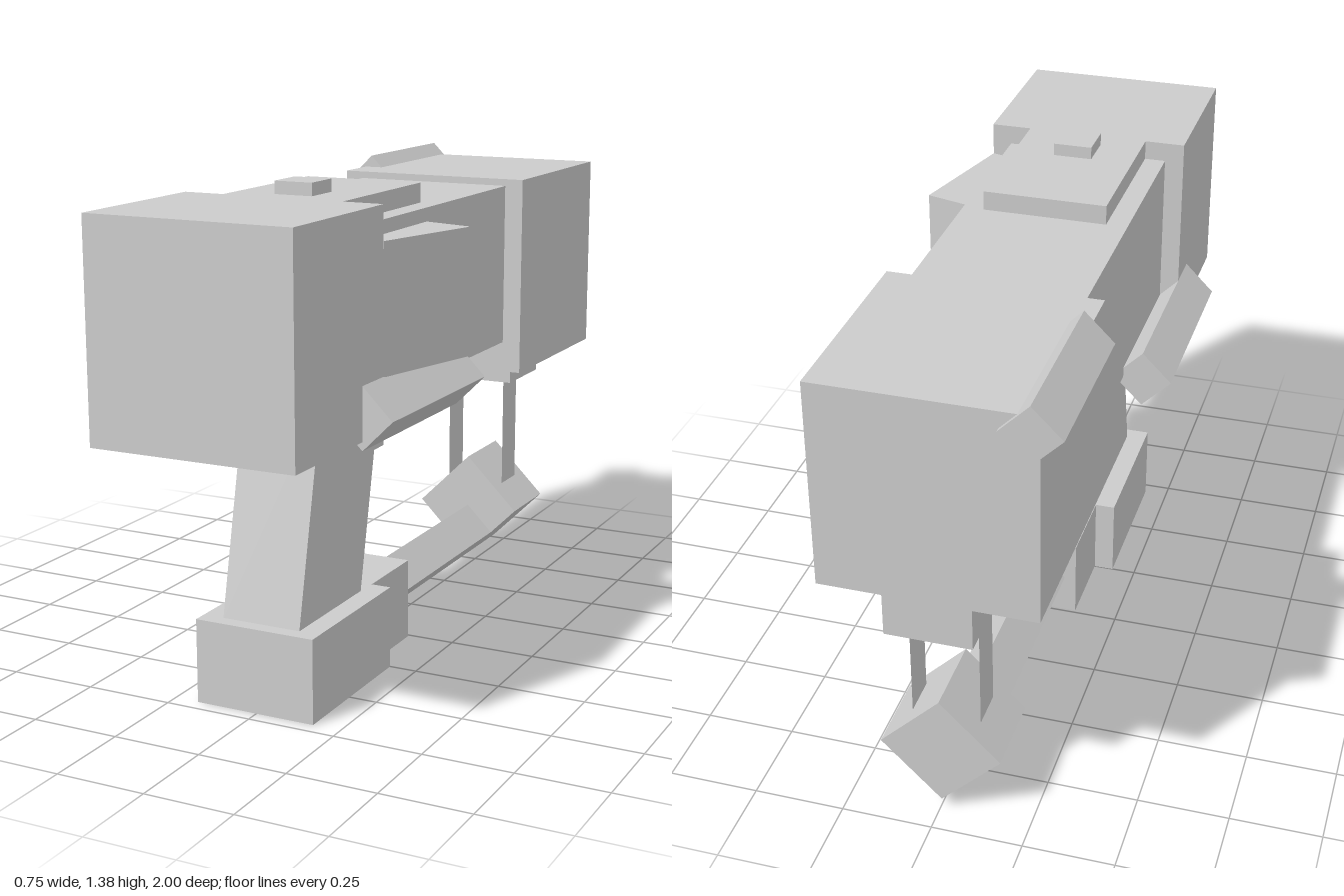
import * as THREE from 'three';

const material = new THREE.MeshStandardMaterial({ color: 0xcccccc, flatShading: true });
const thinMaterial = new THREE.MeshStandardMaterial({ color: 0xcccccc, flatShading: true, side: THREE.DoubleSide });
const CX = -0.005; // centre line of the body

export function createModel() {
  const group = new THREE.Group();

  const add = (name, geometry, mat = material) => {
    const mesh = new THREE.Mesh(geometry, mat);
    mesh.name = name;
    group.add(mesh);
    return mesh;
  };

  // Box centred on the body line, given its width and its y and z ranges
  const block = (name, width, y0, y1, z0, z1) => {
    const mesh = add(name, new THREE.BoxGeometry(width, y1 - y0, z1 - z0));
    mesh.position.set(CX, (y0 + y1) / 2, (z0 + z1) / 2);
    return mesh;
  };

  // Square bar along z, standing on its edge
  const diamondBar = (name, x, y, halfDiagonal, z0, z1) => {
    const side = halfDiagonal * Math.SQRT2;
    const mesh = add(name, new THREE.BoxGeometry(side, side, z1 - z0));
    mesh.position.set(x, y, (z0 + z1) / 2);
    mesh.rotation.z = Math.PI / 4;
  };

  // Main body
  block('frontHousing', 0.58, 0.76, 1.345, 0.53, 1);
  block('middleBody', 0.47, 0.82, 1.29, -0.4, 0.53);
  block('rearHousing', 0.58, 0.73, 1.31, -0.985, -0.4);
  block('topPlate', 0.35, 1.29, 1.345, 0.065, 0.53);
  block('topButton', 0.11, 1.345, 1.38, 0.36, 0.47);

  // Side rails
  for (const s of [-1, 1]) {
    diamondBar(s > 0 ? 'leftLowerRail' : 'rightLowerRail', CX + s * 0.29, 0.82, 0.084, 0.065, 0.65);
  }
  diamondBar('upperRearRail', -0.275, 1.265, 0.08, -1, -0.53);

  // Angled side panel, sunk into the body
  const panel = add('angledSidePanel', new THREE.BoxGeometry(0.19, 0.35, 0.35));
  panel.position.set(0.238, 1.077, 0.336);
  panel.rotation.y = -Math.atan2(0.09, 0.34);

  // Slanted grip: a box sheared along z
  const grip = new THREE.BoxGeometry(0.23, 0.6, 0.355);
  const p = grip.attributes.position;
  for (let i = 0; i < p.count; i++) p.setZ(i, p.getZ(i) - 0.22 * p.getY(i));
  grip.computeVertexNormals();
  add('grip', grip).position.set(CX, 0.53, 0.427);
  block('trigger', 0.13, 0.59, 0.83, 0.07, 0.25);

  // Base under the grip
  block('baseFront', 0.35, 0, 0.235, 0.25, 0.71);
  block('baseRear', 0.234, 0, 0.235, 0.01, 0.25);

  // Lower strut, its rear hub, and the two thin posts up to the rear housing
  diamondBar('lowerStrut', CX, 0.118, 0.083, -0.7, 0.02);
  diamondBar('rearHub', CX, 0.2, 0.165, -0.925, -0.695);
  block('rearBracket', 0.234, 0.61, 0.73, -0.985, -0.755);
  for (const s of [-1, 1]) {
    const post = add(s > 0 ? 'leftPost' : 'rightPost', new THREE.PlaneGeometry(0.11, 0.34), thinMaterial);
    post.position.set(CX + s * 0.094, 0.44, -0.81);
    post.rotation.y = s * Math.PI / 2;
  }

  return group;
}
